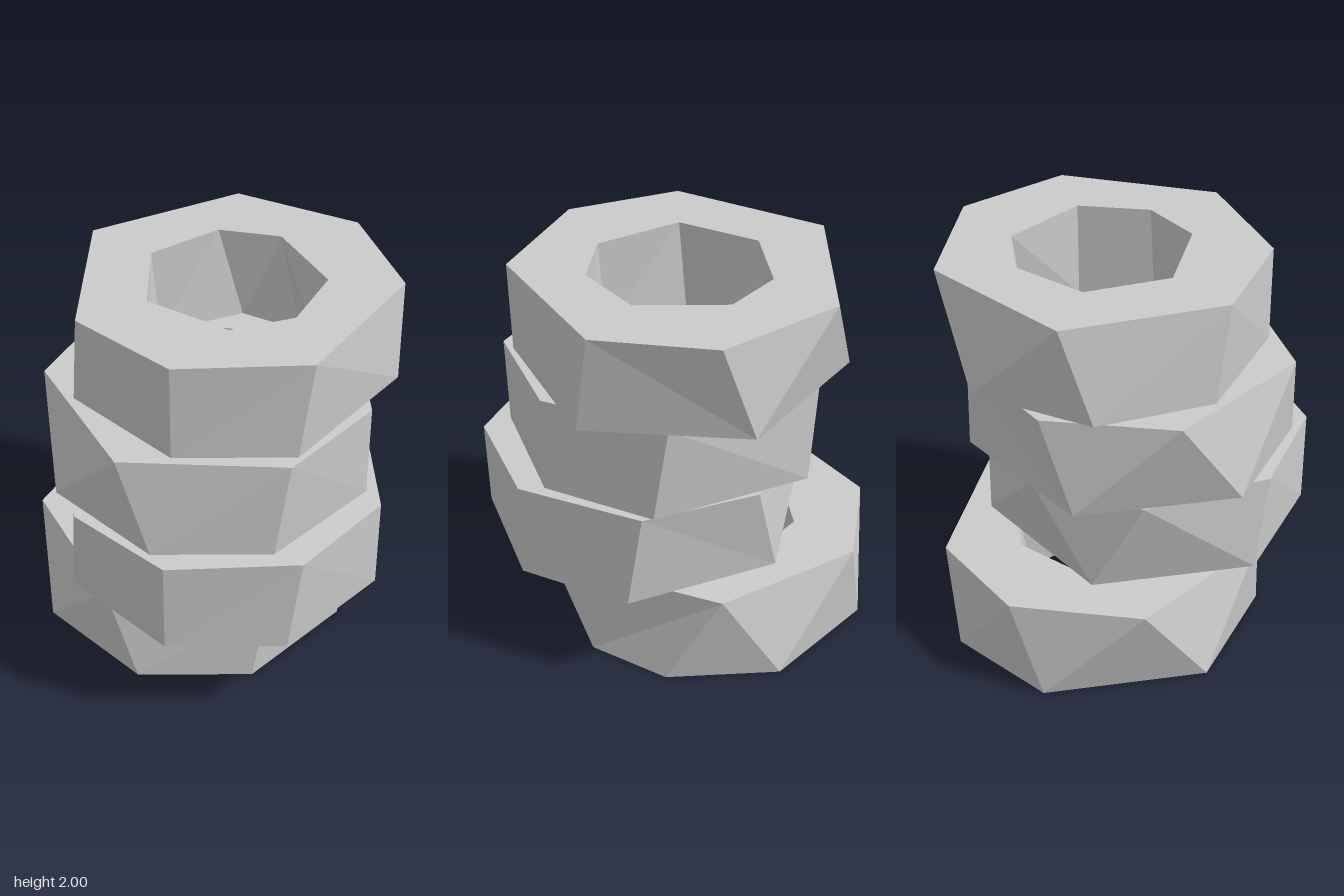
import * as THREE from 'three';

const OUTER = 0.83, INNER = 0.46, HEIGHT = 0.5;

// Angles in degrees, measured from +x towards +z, of each ring's corners
const HOLE_TOP = [30, 72, 132, 189, 241, 282, 342];
const HOLE_BOTTOM = [33, 78, 137, 197, 257, 299, 342];
const RINGS = [
  { name: 'bottomRing', x: -0.14, z: -0.12,
    top: [0, 42, 102, 163, 211, 252, 309.5], bottom: [0, 48, 90, 138, 198.6, 240.7, 288, 329] },
  { name: 'lowerMiddleRing', x: 0.11, z: 0.11,
    top: [0, 42.6, 90, 132, 180, 222, 270, 313], bottom: [0, 47.6, 90, 138, 198, 260, 318] },
  { name: 'upperMiddleRing', x: 0.01, z: 0.03,
    top: [0, 42.6, 102, 162, 210, 253, 313], bottom: [0, 48, 90, 138, 198, 258, 318] },
  { name: 'topRing', x: 0.07, z: -0.11,
    top: [43, 90, 132, 192, 252, 300, 343], bottom: [48, 90, 138, 181, 227, 288, 348] },
];

const rad = THREE.MathUtils.degToRad;
const corner = (angle, radius, y) => [radius * Math.cos(rad(angle)), y, radius * Math.sin(rad(angle))];

// Faceted wall joining two loops of corners, stepping along whichever comes next
function wall(top, bottom, radius, inward) {
  const t = [...top, top[0] + 360], b = [...bottom, bottom[0] + 360];
  const positions = [];
  let i = 0, j = 0;
  while (i < t.length - 1 || j < b.length - 1) {
    const stepTop = j === b.length - 1 || (i < t.length - 1 && t[i + 1] < b[j + 1]);
    const low = corner(b[j], radius, 0), high = corner(t[i], radius, HEIGHT);
    const next = stepTop ? corner(t[++i], radius, HEIGHT) : corner(b[++j], radius, 0);
    positions.push(...(inward ? [low, next, high] : [low, high, next]).flat());
  }
  const geometry = new THREE.BufferGeometry();
  geometry.setAttribute('position', new THREE.Float32BufferAttribute(positions, 3));
  geometry.computeVertexNormals();
  return geometry;
}

// Flat top face with the hole cut out
function topFace(outer, hole) {
  const loop = (angles, r) => angles.map((a) => {
    const [x, , z] = corner(a, r, 0);
    return new THREE.Vector2(x, -z);
  });
  const shape = new THREE.Shape(loop(outer, OUTER));
  shape.holes.push(new THREE.Path(loop(hole, INNER)));
  return new THREE.ShapeGeometry(shape).rotateX(-Math.PI / 2).translate(0, HEIGHT, 0);
}

export function createModel() {
  const material = new THREE.MeshStandardMaterial({
    color: 0xcccccc, flatShading: true, side: THREE.DoubleSide,
  });
  const model = new THREE.Group();
  model.name = 'ringStack';

  // Four staggered rings, open underneath
  RINGS.forEach((ring, level) => {
    const group = new THREE.Group();
    group.name = ring.name;
    group.position.set(ring.x, level * HEIGHT, ring.z);
    const parts = {
      outerWall: wall(ring.top, ring.bottom, OUTER, false),
      innerWall: wall(HOLE_TOP, HOLE_BOTTOM, INNER, true),
      topFace: topFace(ring.top, HOLE_TOP),
    };
    for (const [name, geometry] of Object.entries(parts)) {
      const mesh = new THREE.Mesh(geometry, material);
      mesh.name = name;
      group.add(mesh);
    }
    model.add(group);
  });
  return model;
}
